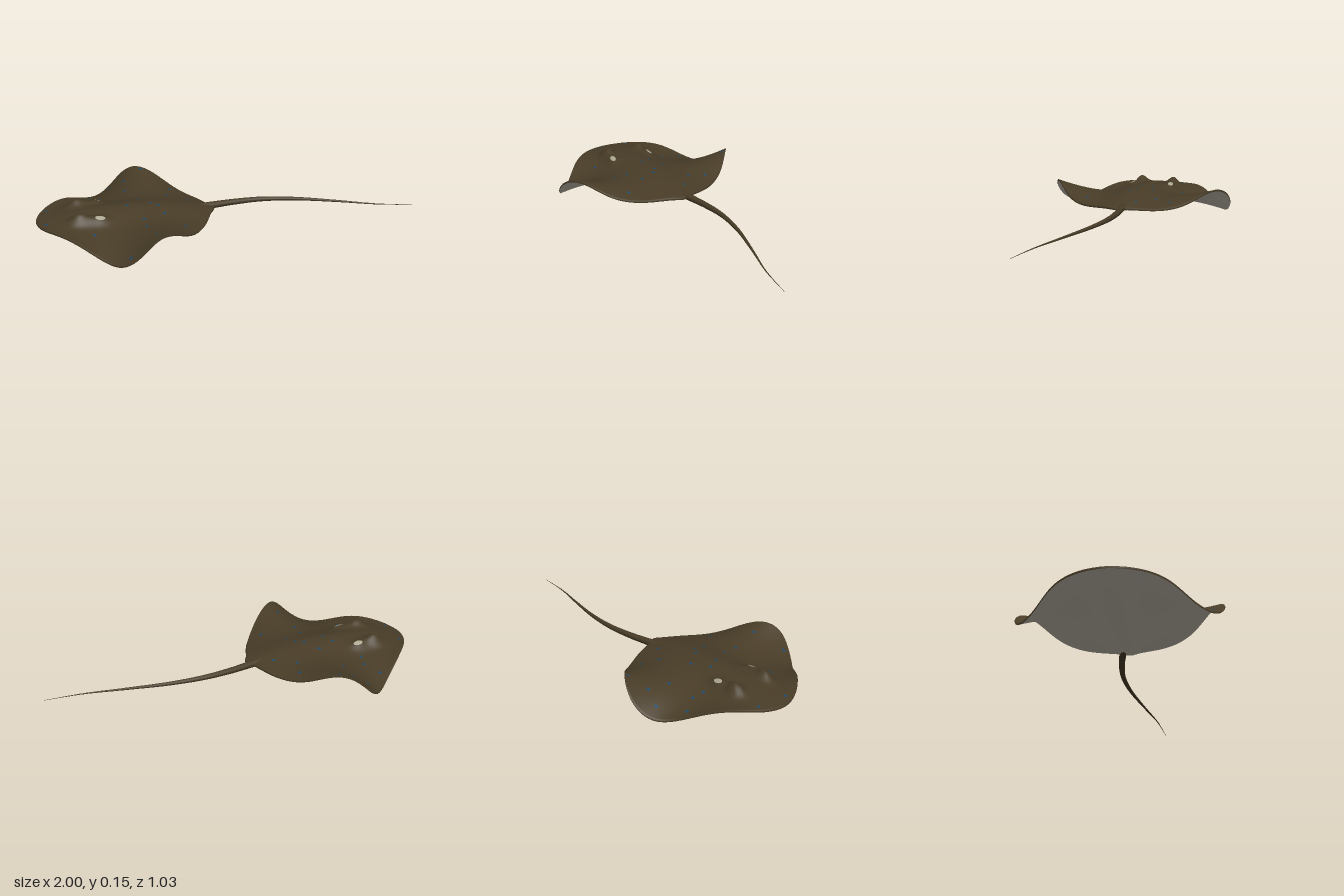
import * as THREE from 'three';
import { mergeVertices } from 'three/addons/utils/BufferGeometryUtils.js';

const N = 144, R = 50, CX = -0.53;

// Half outline of the disc, nose to tail: [x, half width]
const HALF = [[-0.985, 0.075], [-0.945, 0.15], [-0.85, 0.262], [-0.717, 0.38], [-0.61, 0.475],
  [-0.555, 0.507], [-0.51, 0.517], [-0.46, 0.502], [-0.38, 0.448], [-0.265, 0.345], [-0.157, 0.19], [-0.095, 0.05]];
const OUTLINE = [[-1, 0], ...HALF.map(([x, z]) => [x, -z]), [-0.07, 0], ...HALF.slice().reverse()]
  .map(([x, z]) => new THREE.Vector3(x, 0, z));

const bell = (x, z, cx, cz, sx, sz) => Math.exp(-(((x - cx) / sx) ** 2) - ((z - cz) / sz) ** 2);

// Rippling middle surface of the wings
function midY(x, z) {
  const sway = 0.064 * Math.pow(Math.abs(z) / 0.42, 1.9);
  return 0.077 + sway * Math.sin((Math.PI * 2 * (x + 0.53)) / 0.6);
}
// Half thickness: domed spine, thin wings
function thick(x, z, r) {
  const t = Math.min(1, Math.max(0, (x + 1) / 0.93));
  const spine = 0.044 * Math.pow(Math.sin(Math.PI * t), 0.8) * Math.exp(-((z / 0.13) ** 2));
  return 0.005 + 0.009 * (1 - r * r) + spine * Math.sqrt(Math.max(0, 1 - r ** 6));
}
// Eye mounds with the lower spiracle lobe behind them
function mounds(x, z) {
  const a = Math.abs(z);
  return 0.045 * bell(x, a, -0.785, 0.1, 0.05, 0.036) + 0.024 * bell(x, a, -0.69, 0.112, 0.055, 0.034);
}
const topY = (x, z, r) => midY(x, z) + thick(x, z, r) + mounds(x, z);

// Grid of rings to a smooth surface
function surface(rings, flip) {
  const pos = [], idx = [];
  rings.forEach((ring) => ring.forEach((p) => pos.push(p[0], p[1], p[2])));
  for (let i = 0; i < rings.length - 1; i++) {
    for (let j = 0; j < N; j++) {
      const k = (j + 1) % N;
      const a = i * N + j, b = i * N + k, c = a + N, d = b + N;
      if (i > 0) idx.push(...(flip ? [a, d, b] : [a, b, d]));
      idx.push(...(flip ? [a, c, d] : [a, d, c]));
    }
  }
  let g = new THREE.BufferGeometry();
  g.setAttribute('position', new THREE.Float32BufferAttribute(pos, 3));
  g.setIndex(idx);
  g = mergeVertices(g, 1e-5);
  g.computeVertexNormals();
  return g;
}

// Small patch that follows the upper skin
function skinPatch(cx, cz, rx, rz, lift) {
  const g = new THREE.CircleGeometry(1, 14);
  g.rotateX(-Math.PI / 2);
  const p = g.attributes.position;
  for (let i = 0; i < p.count; i++) {
    const x = cx + p.getX(i) * rx, z = cz + p.getZ(i) * rz;
    p.setXYZ(i, x, topY(x, z, radial(x, z)) + lift, z);
  }
  g.computeVertexNormals();
  return g;
}

const EDGE = new THREE.CatmullRomCurve3(OUTLINE, true, 'centripetal').getSpacedPoints(N).slice(0, N);
// Fraction of the way from the disc centre to its edge
function radial(x, z) {
  const ang = Math.atan2(z, x - CX);
  let best = EDGE[0], err = 9;
  for (const e of EDGE) {
    const d = Math.abs(Math.atan2(Math.sin(Math.atan2(e.z, e.x - CX) - ang), Math.cos(Math.atan2(e.z, e.x - CX) - ang)));
    if (d < err) { err = d; best = e; }
  }
  return Math.min(1, Math.hypot(x - CX, z) / Math.hypot(best.x - CX, best.z));
}

export function createModel() {
  const skin = new THREE.MeshStandardMaterial({ color: 0x483c27 });
  skin.name = 'olive brown skin';
  const belly = new THREE.MeshStandardMaterial({ color: 0xc0b9ac });
  belly.name = 'pale belly';
  const blue = new THREE.MeshStandardMaterial({ color: 0x1d4a6b });
  blue.name = 'blue spots';
  const pale = new THREE.MeshStandardMaterial({ color: 0xaaa68f });
  pale.name = 'pale spiracle';

  const model = new THREE.Group();
  model.name = 'ray';
  const add = (name, geo, mat, parent = model) => {
    const m = new THREE.Mesh(geo, mat);
    m.name = name;
    parent.add(m);
    return m;
  };

  // Disc: upper skin with its rim, and the underside
  const ring = (r, height) => EDGE.map((e) => {
    const x = CX + (e.x - CX) * r, z = e.z * r;
    return [x, height(x, z, r), z];
  });
  const lowY = (x, z, r) => midY(x, z) - thick(x, z, r);
  const upper = [], lower = [];
  for (let i = 0; i <= R; i++) {
    const r = i / R;
    upper.push(ring(r * 0.996, topY));
    lower.push(ring(r * 0.996, lowY));
  }
  upper.push(ring(1, midY), ring(0.996, lowY));
  add('upperDisc', surface(upper, false), skin);
  add('underside', surface(lower, true), belly);

  // Tail: long tapering whip
  const path = new THREE.CatmullRomCurve3([
    [-0.22, 0.079, -0.01], [-0.1, 0.077, -0.035], [0.05, 0.075, -0.062], [0.2, 0.073, -0.073], [0.38, 0.067, -0.055],
    [0.6, 0.056, -0.003], [0.8, 0.044, 0.05], [1, 0.033, 0.08],
  ].map((p) => new THREE.Vector3(...p)));
  const SEG = 80, SIDES = 12;
  let tail = new THREE.TubeGeometry(path, SEG, 1, SIDES, false);
  const tp = tail.attributes.position;
  for (let i = 0; i <= SEG; i++) {
    const c = path.getPointAt(i / SEG);
    const rad = 0.0008 + 0.0205 * Math.pow(1 - i / SEG, 1.25);
    for (let j = 0; j <= SIDES; j++) {
      const k = i * (SIDES + 1) + j;
      tp.setXYZ(k, c.x + (tp.getX(k) - c.x) * rad, c.y + (tp.getY(k) - c.y) * rad, c.z + (tp.getZ(k) - c.z) * rad);
    }
  }
  tail.deleteAttribute('uv');
  tail.deleteAttribute('normal');
  tail = mergeVertices(tail, 1e-6);
  tail.computeVertexNormals();
  add('tail', tail, skin);

  // Spiracles behind the eyes
  for (const s of [-1, 1]) add(s < 0 ? 'rightSpiracle' : 'leftSpiracle', skinPatch(-0.68, s * 0.115, 0.026, 0.013, 0.0025), pale);

  // Blue spots scattered over the back
  const spots = new THREE.Group();
  spots.name = 'spots';
  model.add(spots);
  [[-0.94, -0.1], [-0.7, -0.33], [-0.65, -0.25], [-0.66, -0.19], [-0.58, -0.42], [-0.5, -0.4], [-0.4, -0.44],
    [-0.51, -0.275], [-0.27, -0.25], [-0.2, -0.08], [-0.46, -0.09], [-0.56, -0.05], [-0.53, 0.01], [-0.37, 0.02],
    [-0.46, 0.14], [-0.35, 0.1], [-0.72, 0.21], [-0.46, 0.22], [-0.26, 0.23], [-0.43, 0.38], [-0.57, 0.46],
    [-0.95, 0.07], [-0.41, -0.01], [-0.3, -0.16]]
    .forEach(([x, z]) => add('spot', skinPatch(x, z, 0.009, 0.009, 0.002), blue, spots));

  return model;
}
